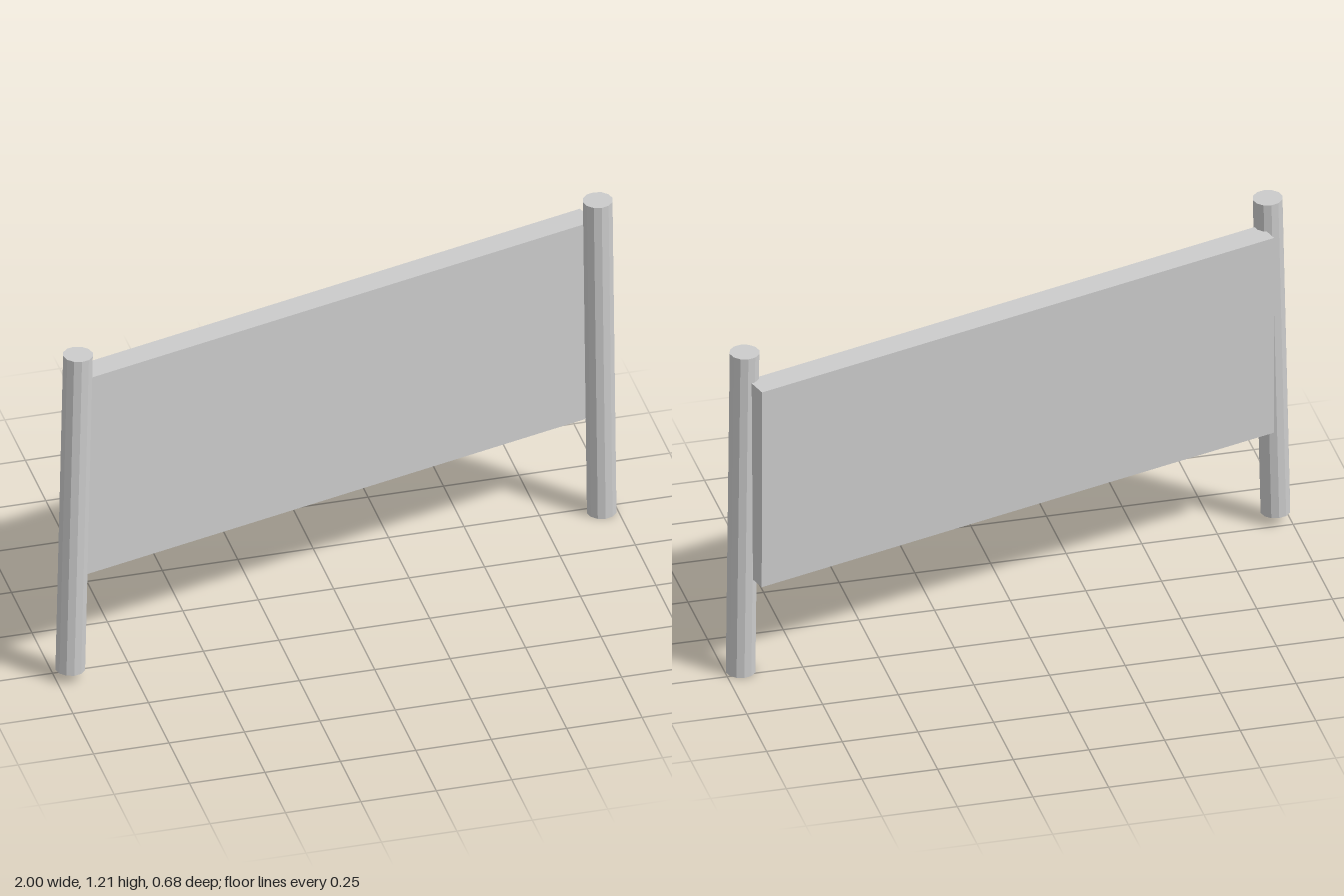
import * as THREE from 'three';

const material = new THREE.MeshStandardMaterial({ color: 0xcccccc, flatShading: true });

// Round post running between the centres of its two end caps
function post(name, bottom, top) {
  const a = new THREE.Vector3(...bottom);
  const b = new THREE.Vector3(...top);
  const axis = b.clone().sub(a);
  const mesh = new THREE.Mesh(new THREE.CylinderGeometry(0.049, 0.049, axis.length(), 12), material);
  mesh.name = name;
  mesh.position.copy(a).add(b).multiplyScalar(0.5);
  mesh.quaternion.setFromUnitVectors(new THREE.Vector3(0, 1, 0), axis.normalize());
  return mesh;
}

export function createModel() {
  const group = new THREE.Group();
  group.name = 'signboard';

  // Two slightly leaning posts
  group.add(post('rightPost', [-0.952, 0.036, 0.29], [-0.92, 1.204, 0.266]));
  group.add(post('leftPost', [0.949, 0.001, -0.223], [0.938, 1.175, -0.231]));

  // Board: turned, sloping and leaning back a little
  const along = new THREE.Vector3(1.83, -0.022, -0.52).normalize();
  const up = new THREE.Vector3(0.003, 0.727, -0.018);
  up.addScaledVector(along, -up.dot(along)).normalize();
  const out = along.clone().cross(up);
  const board = new THREE.Mesh(new THREE.BoxGeometry(1.9, 0.727, 0.09), material);
  board.name = 'board';
  board.quaternion.setFromRotationMatrix(new THREE.Matrix4().makeBasis(along, up, out));
  board.position.set(0.005, 0.73, -0.027);
  group.add(board);

  return group;
}
